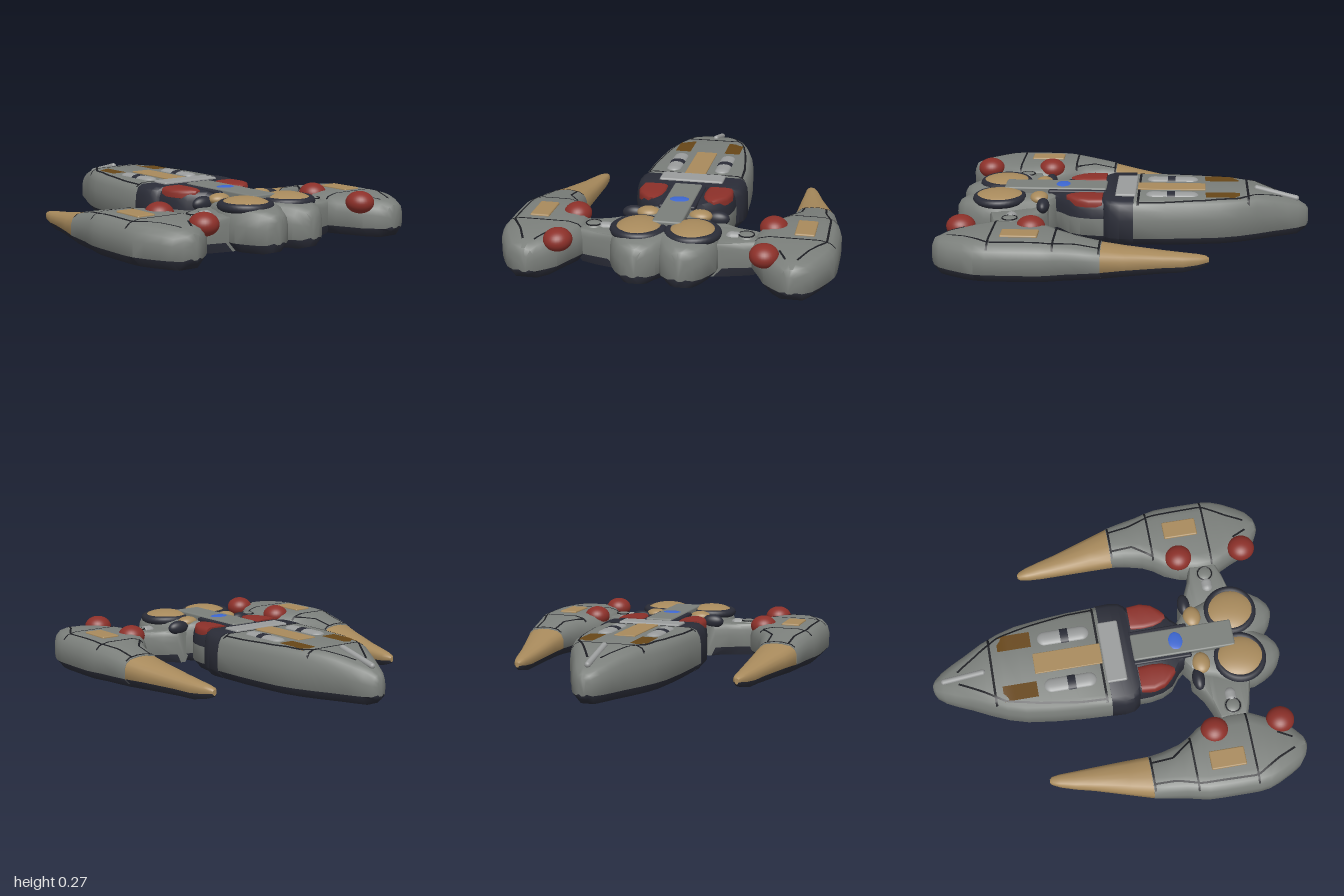
import * as THREE from 'three';
import { toCreasedNormals } from 'three/addons/utils/BufferGeometryUtils.js';
import { RoundedBoxGeometry } from 'three/addons/geometries/RoundedBoxGeometry.js';

const paint = (name, color, side = THREE.FrontSide) => {
  const m = new THREE.MeshStandardMaterial({ color, side });
  m.name = name;
  return m;
};

export function createModel() {
  const hullGrey = paint('hull grey', 0x7b7f7b);
  const lightGrey = paint('light grey', 0x9a9c9c);
  const dark = paint('dark slate', 0x2a2c37);
  const line = paint('seam black', 0x1c1d22, THREE.DoubleSide);
  const tan = paint('tan', 0xa88a5c);
  const red = paint('red', 0x8c3029);
  const blue = paint('blue', 0x3c66d0);
  const brown = paint('window brown', 0x674617, THREE.DoubleSide);
  const model = new THREE.Group();

  const add = (name, geo, mat) => {
    const m = new THREE.Mesh(geo, mat);
    m.name = name;
    model.add(m);
    return m;
  };

  // Mirrored copy of a geometry across x = 0, with the face order put right
  const mirror = (geo) => {
    const g = geo.index ? geo.toNonIndexed() : geo.clone();
    g.scale(-1, 1, 1);
    for (const a of Object.values(g.attributes)) {
      for (let i = 0; i < a.count; i += 3) {
        for (let k = 0; k < a.itemSize; k++) {
          const t = a.getComponent(i + 1, k);
          a.setComponent(i + 1, k, a.getComponent(i + 2, k));
          a.setComponent(i + 2, k, t);
        }
      }
    }
    return g;
  };
  const pair = (name, geo, mat) => {
    add('right ' + name, mirror(geo), mat);
    return add('left ' + name, geo, mat);
  };

  // Hull along z; stations are [z, xMin, xMax, top, bottom].
  // Material groups: 0 keel, 1 sides, 2 shoulders and deck.
  const loft = (stations, r) => {
    const pos = [], groups = [[], [], []];
    const edge = [0, 1, 2, 2, 2, 2, 2, 2, 2, 1, 0, 0], n = edge.length;
    for (const [z, xa, xb, h, b = 0] of stations) {
      const w = xb - xa, c = Math.min(0.045, w * 0.3), q = Math.min(r, w * 0.42);
      const ch = Math.min(Math.max(0.05 - b, 0.01), (h - b) * 0.4);
      const y = (t) => b + ch + (h - b - ch) * t;
      const half = [[c, b], [0, b + ch], [0, y(0.5)], [0.13 * q, y(0.75)], [0.42 * q, y(0.92)], [q, h]];
      for (const [d, v] of half) pos.push(xa + d, v, z);
      for (const [d, v] of half.reverse()) pos.push(xb - d, v, z);
    }
    const last = (stations.length - 1) * n;
    for (let i = 0; i < last; i += n) {
      for (let j = 0; j < n; j++) {
        const k = (j + 1) % n;
        groups[edge[j]].push(i + j, i + n + j, i + k, i + k, i + n + j, i + n + k);
      }
    }
    for (let j = 1; j < n - 1; j++) {
      groups[1].push(0, j, j + 1, last, last + j + 1, last + j);
    }
    const g = new THREE.BufferGeometry();
    g.setAttribute('position', new THREE.Float32BufferAttribute(pos, 3));
    g.setIndex(groups.flat());
    let start = 0;
    groups.forEach((f, i) => { g.addGroup(start, f.length, i); start += f.length; });
    return toCreasedNormals(g, 0.75);
  };
  const sym = (list) => list.map(([z, w, ...rest]) => [z, -w, w, ...rest]);

  // Thin ribbon laid on top of a mesh along [x, z] points
  const ray = new THREE.Raycaster(), down = new THREE.Vector3(0, -1, 0);
  const drape = (points, width, mesh, lift = 0.004) => {
    const pos = [], idx = [];
    const path = new THREE.CurvePath();
    for (let i = 1; i < points.length; i++) {
      path.add(new THREE.LineCurve(new THREE.Vector2(...points[i - 1]), new THREE.Vector2(...points[i])));
    }
    const n = 30;
    for (let i = 0; i <= n; i++) {
      const p = path.getPointAt(i / n), t = path.getTangentAt(i / n);
      for (const s of [-0.5, 0.5]) {
        const x = p.x - t.y * s * width, z = p.y + t.x * s * width;
        ray.set(new THREE.Vector3(x, 2, z), down);
        const hit = ray.intersectObject(mesh)[0];
        pos.push(x, (hit ? hit.point.y : 0.15) + lift, z);
      }
      if (i < n) idx.push(2 * i, 2 * i + 1, 2 * i + 2, 2 * i + 2, 2 * i + 1, 2 * i + 3);
    }
    const g = new THREE.BufferGeometry();
    g.setAttribute('position', new THREE.Float32BufferAttribute(pos, 3));
    g.setIndex(idx);
    g.computeVertexNormals();
    if (g.attributes.normal.getY(0) < 0) {
      g.setIndex(idx.reverse());
      g.computeVertexNormals();
    }
    return g;
  };
  const ball = (x, y, z, rx, ry, rz) =>
    new THREE.SphereGeometry(1, 32, 20).scale(rx, ry, rz).translate(x, y, z);
  const box = (x0, x1, y0, y1, z0, z1, r = 0.01) =>
    new RoundedBoxGeometry(x1 - x0, y1 - y0, z1 - z0, 2, r)
      .translate((x0 + x1) / 2, (y0 + y1) / 2, (z0 + z1) / 2);
  const greySkin = [dark, hullGrey, hullGrey], darkSkin = [dark, hullGrey, dark];

  // Main hull, collar and neck
  const hull = add('main hull', loft(sym([
    [-1, 0.02, 0.14, 0.05], [-0.985, 0.045, 0.16, 0.03], [-0.94, 0.08, 0.185], [-0.88, 0.11, 0.205],
    [-0.8, 0.145, 0.23], [-0.7, 0.195, 0.253], [-0.6, 0.238, 0.253], [-0.5, 0.267, 0.253],
    [-0.35, 0.287, 0.253], [-0.2, 0.3, 0.253], [-0.02, 0.308, 0.25]]), 0.06), greySkin);
  add('collar', loft(sym([[-0.025, 0.31, 0.252], [0.05, 0.313, 0.252], [0.1, 0.305, 0.252],
    [0.13, 0.285, 0.25], [0.145, 0.26, 0.25]]), 0.045), [dark, dark, dark]);
  add('neck', loft(sym([[0.12, 0.27, 0.245], [0.2, 0.268, 0.245], [0.27, 0.255, 0.245],
    [0.33, 0.225, 0.245], [0.38, 0.16, 0.24], [0.42, 0.125, 0.235], [0.48, 0.13, 0.23]]), 0.04), darkSkin);
  pair('neck panel', loft([[0.148, 0.11, 0.255, 0.257, 0.2], [0.22, 0.105, 0.262, 0.257, 0.2],
    [0.28, 0.11, 0.245, 0.257, 0.2], [0.325, 0.125, 0.21, 0.256, 0.2],
    [0.35, 0.145, 0.18, 0.25, 0.2]], 0.03), [red, red, red]);

  // Hull deck details
  const ridge = new THREE.CapsuleGeometry(0.016, 0.23, 6, 14);
  ridge.rotateX(Math.PI / 2 - 0.25).translate(0, 0.226, -0.82);
  add('nose ridge', ridge, lightGrey);
  add('deck stripe', box(-0.06, 0.06, 0.24, 0.259, -0.42, -0.04, 0.004), tan);
  add('deck plate', box(-0.18, 0.18, 0.22, 0.264, -0.035, 0.08), lightGrey);
  pair('window', drape([[0.148, -0.61], [0.148, -0.42]], 0.09, hull), brown);
  pair('deck capsule', new THREE.CapsuleGeometry(0.042, 0.21, 8, 20).rotateX(Math.PI / 2)
    .scale(1, 0.45, 1).translate(0.14, 0.248, -0.235), lightGrey);
  pair('capsule band', new THREE.CylinderGeometry(0.044, 0.044, 0.045, 20).rotateX(Math.PI / 2)
    .scale(1, 0.47, 1).translate(0.14, 0.248, -0.228), dark);
  for (const [z, w] of [[-0.655, 0.2], [-0.05, 0.285]]) {
    add('hull cross seam', drape([[-w, z], [w, z]], 0.013, hull), line);
  }
  pair('hull long seam', drape([[0.035, -0.85], [0.1, -0.74], [0.19, -0.6], [0.23, -0.42],
    [0.262, -0.2], [0.268, -0.05]], 0.011, hull), line);

  // Rear engine body
  pair('engine body', loft([[0.41, -0.08, 0.13, 0.235], [0.45, -0.08, 0.19, 0.235], [0.5, -0.08, 0.21, 0.23],
    [0.58, -0.08, 0.235, 0.23], [0.65, -0.08, 0.272, 0.23], [0.72, -0.08, 0.282, 0.23],
    [0.8, -0.06, 0.277, 0.23], [0.86, -0.01, 0.252, 0.225], [0.91, 0.015, 0.222, 0.215],
    [0.945, 0.055, 0.185, 0.2, 0.01], [0.962, 0.095, 0.15, 0.17, 0.05]], 0.07), greySkin);
  pair('dome ring', new THREE.TorusGeometry(0.125, 0.024, 10, 40).rotateX(Math.PI / 2)
    .translate(0.142, 0.222, 0.725), dark);
  pair('engine dome', ball(0.14, 0.222, 0.725, 0.126, 0.045, 0.145), tan);
  pair('engine knob', ball(0.14, 0.225, 0.505, 0.062, 0.032, 0.05), tan);
  pair('knob shroud', ball(0.225, 0.205, 0.475, 0.065, 0.04, 0.035), dark);
  add('spine trim', box(-0.1, 0.1, 0.2, 0.254, 0.13, 0.46), dark);
  add('spine', box(-0.078, 0.078, 0.2, 0.263, 0.135, 0.71), hullGrey);
  add('spine light', ball(0, 0.26, 0.382, 0.055, 0.009, 0.042), blue);

  // Arms with swivel joints
  pair('arm', loft([[0.45, 0.17, 0.25, 0.19], [0.5, 0.15, 0.32, 0.19], [0.535, 0.15, 0.4, 0.185],
    [0.56, 0.15, 0.5, 0.185], [0.7, 0.15, 0.5, 0.185], [0.73, 0.15, 0.42, 0.18],
    [0.76, 0.15, 0.3, 0.18]], 0.05), greySkin);
  pair('arm joint', ball(0.405, 0.178, 0.635, 0.052, 0.026, 0.052), hullGrey);
  pair('joint ring', new THREE.TorusGeometry(0.04, 0.004, 6, 28).rotateX(Math.PI / 2)
    .translate(0.405, 0.195, 0.635), line);
  pair('joint rod', new THREE.CapsuleGeometry(0.034, 0.025, 6, 16).rotateZ(Math.PI / 2)
    .translate(0.34, 0.17, 0.635), lightGrey);

  // Side pods and horns
  const pod = pair('pod', loft([[0.12, 0.595, 0.82, 0.165], [0.2, 0.585, 0.835, 0.18], [0.3, 0.56, 0.85, 0.197],
    [0.36, 0.53, 0.865, 0.205], [0.42, 0.485, 0.877, 0.21], [0.5, 0.452, 0.88, 0.212],
    [0.6, 0.435, 0.88, 0.212], [0.7, 0.437, 0.88, 0.212], [0.76, 0.465, 0.872, 0.21],
    [0.82, 0.495, 0.85, 0.208], [0.9, 0.53, 0.81, 0.2], [0.95, 0.58, 0.78, 0.19],
    [0.985, 0.622, 0.735, 0.175, 0.03], [1, 0.65, 0.7, 0.14, 0.05]], 0.09), greySkin);
  pair('horn', loft([[-0.435, 0.618, 0.64, 0.07, 0.04], [-0.42, 0.606, 0.652, 0.08, 0.03],
    [-0.38, 0.6, 0.67, 0.088, 0.015], [-0.3, 0.598, 0.694, 0.098], [-0.2, 0.596, 0.72, 0.11],
    [0, 0.594, 0.782, 0.14], [0.125, 0.594, 0.82, 0.162]], 0.09), [dark, tan, tan]);
  pair('pod plate', box(0.65, 0.755, 0.19, 0.221, 0.445, 0.64, 0.008), tan);
  for (const z of [0.505, 0.875]) pair('pod sphere', ball(0.53, 0.19, z, 0.075, 0.06, 0.078), red);

  // Pod seams
  const seams = [
    [[0.61, 0.128], [0.805, 0.128]], [[0.545, 0.36], [0.85, 0.36]], [[0.46, 0.69], [0.865, 0.69]],
    [[0.768, 0.13], [0.775, 0.25], [0.815, 0.38], [0.822, 0.69], [0.745, 0.82], [0.7, 0.92]],
    [[0.648, 0.13], [0.645, 0.25], [0.565, 0.36]],
    [[0.49, 0.72], [0.6, 0.84], [0.64, 0.92]].slice(1),
  ];
  for (const s of seams) pair('pod seam', drape(s, 0.011, pod), line);

  return model;
}
